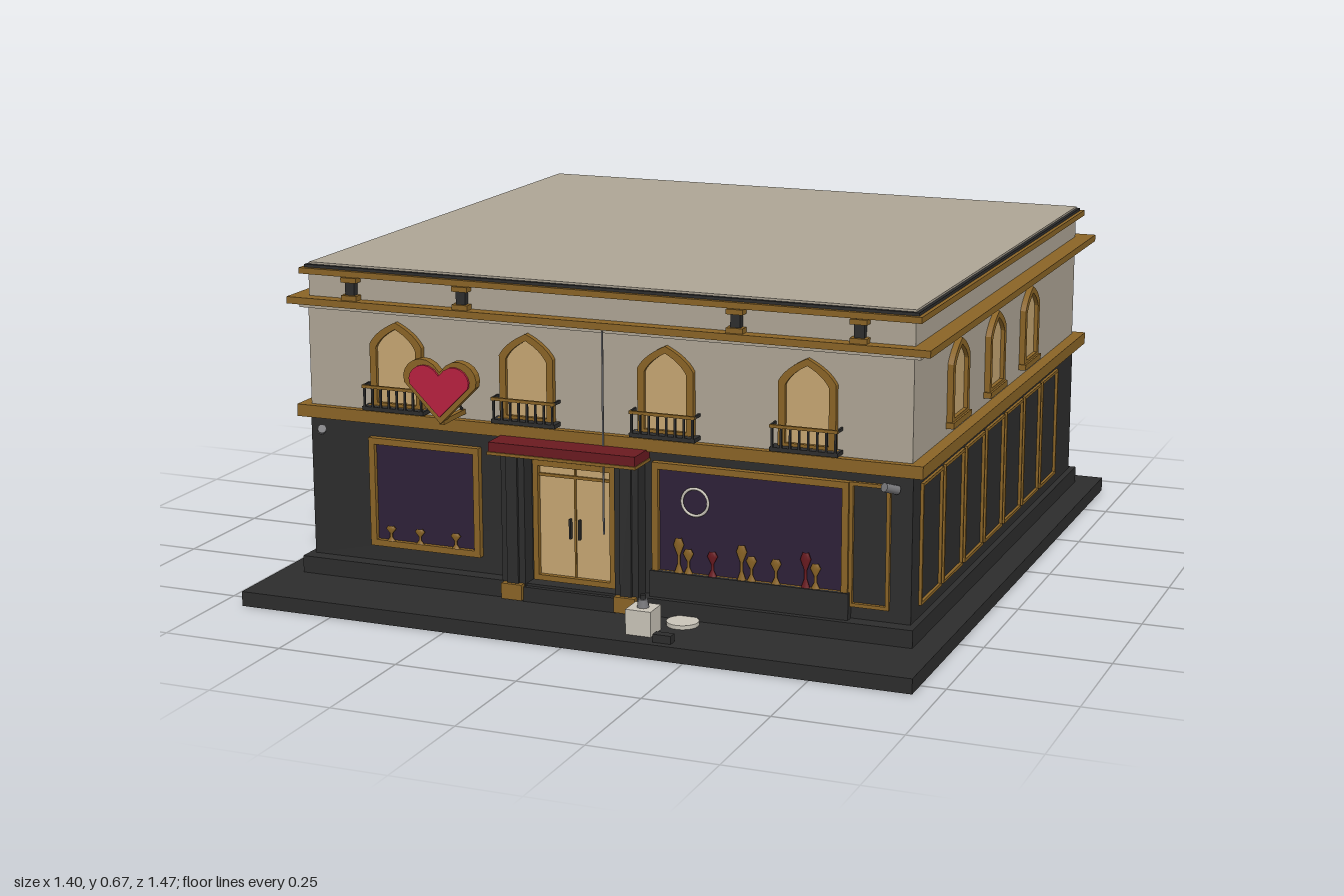
import * as THREE from 'three';

const mat = (name, color) => Object.assign(new THREE.MeshStandardMaterial({ color }), { name });
const M = {
  stone: mat('warm stone', 0xaea595), gold: mat('old gold', 0x8a6426), dark: mat('charcoal', 0x2d2d2d),
  glow: mat('lit glass', 0xc6a672), violet: mat('violet glass', 0x2e2038), maroon: mat('maroon', 0x6a1a20),
  red: mat('heart red', 0xb82040), grey: mat('metal grey', 0x77777a), pale: mat('pale', 0xc9c4b8),
};

function add(parent, name, geo, m, x = 0, y = 0, z = 0) {
  const mesh = new THREE.Mesh(geo, m);
  mesh.name = name;
  mesh.position.set(x, y, z);
  parent.add(mesh);
  return mesh;
}

// Box given by its limits on each axis
function box(parent, name, m, x0, x1, y0, y1, z0, z1) {
  return add(parent, name, new THREE.BoxGeometry(x1 - x0, y1 - y0, z1 - z0), m,
    (x0 + x1) / 2, (y0 + y1) / 2, (z0 + z1) / 2);
}

function group(parent, name, x = 0, y = 0, z = 0, turn = 0) {
  const g = new THREE.Group();
  g.name = name;
  g.position.set(x, y, z);
  g.rotation.y = turn;
  parent.add(g);
  return g;
}

const extrude = (shape, depth) =>
  new THREE.ExtrudeGeometry(shape, { depth, bevelEnabled: false, curveSegments: 8 });

function rectShape(w, h) {
  return new THREE.Shape([[-w / 2, 0], [w / 2, 0], [w / 2, h], [-w / 2, h]].map(p => new THREE.Vector2(...p)));
}

// Pointed arch standing on y = 0
function archShape(w, h) {
  const s = new THREE.Shape(), k = w / 2, shoulder = h * 0.74;
  s.moveTo(-k, 0);
  s.lineTo(k, 0);
  s.lineTo(k, shoulder);
  s.quadraticCurveTo(k * 0.75, h * 0.89, 0, h);
  s.quadraticCurveTo(-k * 0.75, h * 0.89, -k, shoulder);
  s.closePath();
  return s;
}

// Border of thickness t around a rectangle or arch, with an optional pane
function framed(parent, name, make, w, h, t, depth, pane) {
  const outer = make(w, h);
  const inner = make(w - 2 * t, h - 2 * t).getPoints(8).map(p => p.add(new THREE.Vector2(0, t)));
  outer.holes.push(new THREE.Path(inner));
  add(parent, name + 'Frame', extrude(outer, depth), M.gold);
  if (pane) add(parent, name + 'Pane', extrude(new THREE.Shape(inner), 0.004), pane);
}

function heartShape(w, h) {
  const s = new THREE.Shape(), k = w / 2;
  s.moveTo(0, -h / 2);
  s.lineTo(k * 0.93, h * 0.12);
  s.bezierCurveTo(k * 1.1, h * 0.42, k * 0.4, h * 0.72, 0, h * 0.32);
  s.bezierCurveTo(-k * 0.4, h * 0.72, -k * 1.1, h * 0.42, -k * 0.93, h * 0.12);
  s.closePath();
  return s;
}

function archWindow(parent, x, y, z, turn, h) {
  const g = group(parent, 'archedWindow', x, y, z, turn);
  framed(g, 'arch', archShape, 0.115, h, 0.014, 0.012, M.glow);
  box(g, 'sill', M.gold, -0.062, 0.062, -0.004, 0.008, 0, 0.016);
  return g;
}

function balcony(parent) {
  const g = group(parent, 'balcony');
  box(g, 'balconyFloor', M.dark, -0.068, 0.068, 0, 0.008, 0, 0.03);
  box(g, 'handrail', M.gold, -0.068, 0.068, 0.046, 0.052, 0.025, 0.031);
  for (let i = 0; i < 8; i++) {
    const x = -0.063 + i * 0.018;
    box(g, 'baluster', M.dark, x - 0.002, x + 0.002, 0.008, 0.046, 0.026, 0.03);
  }
  for (const s of [-1, 1]) box(g, 'sideRail', M.dark, s * 0.066 - 0.002, s * 0.066 + 0.002, 0.046, 0.052, 0, 0.026);
}

// Small cup-shaped display piece
function trinket(parent, x, y, z, h, m) {
  const pts = [[0.009, 0], [0.003, 0.25], [0.003, 0.5], [0.011, 0.8], [0.006, 1]]
    .map(([r, t]) => new THREE.Vector2(r, t * h));
  const mesh = add(parent, 'displayPiece', new THREE.LatheGeometry(pts, 10), m, x, y, z);
  mesh.scale.z = 0.6;
}

function rod(parent, name, m, a, b, r) {
  return add(parent, name, new THREE.TubeGeometry(
    new THREE.LineCurve3(new THREE.Vector3(...a), new THREE.Vector3(...b)), 1, r, 6), m);
}

export function createModel() {
  const root = new THREE.Group();
  root.name = 'cornerShop';

  // Main masses, from the pavement up
  box(root, 'pavement', M.dark, -0.7, 0.7, 0, 0.03, -0.67, 0.8);
  box(root, 'plinth', M.dark, -0.65, 0.65, 0.03, 0.065, -0.615, 0.64);
  box(root, 'lowerWalls', M.dark, -0.637, 0.637, 0.065, 0.355, -0.6, 0.61);
  box(root, 'lowerCornice', M.gold, -0.66, 0.66, 0.355, 0.38, -0.62, 0.625);
  box(root, 'upperWalls', M.stone, -0.635, 0.635, 0.38, 0.585, -0.6, 0.61);
  box(root, 'upperCornice', M.gold, -0.672, 0.672, 0.588, 0.602, -0.638, 0.632);
  box(root, 'corniceBed', M.stone, -0.65, 0.65, 0.58, 0.588, -0.615, 0.62);
  box(root, 'parapet', M.stone, -0.635, 0.635, 0.602, 0.648, -0.6, 0.605);
  box(root, 'parapetTrim', M.gold, -0.65, 0.65, 0.648, 0.66, -0.617, 0.618);
  box(root, 'roofEdge', M.dark, -0.642, 0.642, 0.66, 0.666, -0.609, 0.609);
  box(root, 'roof', M.stone, -0.635, 0.635, 0.664, 0.67, -0.603, 0.601);

  // Side walls: seven panels and three arched windows each
  for (const s of [-1, 1]) {
    for (let i = 0; i < 7; i++) {
      const g = group(root, 'sidePanel', s * 0.637, 0.09, 0.495 - i * 0.147, s * Math.PI / 2);
      framed(g, 'panel', rectShape, 0.134, 0.24, 0.006, 0.006);
    }
    for (const z of [0.335, 0.07, -0.197]) archWindow(root, s * 0.635, 0.4, z, s * Math.PI / 2, 0.165);
  }

  // Back wall: panels and ladder
  for (let i = 0; i < 8; i++) {
    const g = group(root, 'backPanel', (i - 3.5) * 0.147, 0.09, -0.6, Math.PI);
    framed(g, 'panel', rectShape, 0.134, 0.24, 0.006, 0.006);
  }
  const ladder = group(root, 'ladder', 0.24, 0, -0.625);
  for (const s of [-1, 1]) rod(ladder, 'ladderRail', M.grey, [s * 0.038, 0.07, 0], [s * 0.038, 0.59, 0], 0.005);
  for (let i = 0; i < 9; i++) rod(ladder, 'rung', M.grey, [-0.038, 0.1 + i * 0.057, 0], [0.038, 0.1 + i * 0.057, 0], 0.004);

  // Shop windows with display pieces
  const leftPane = group(root, 'smallShopWindow', -0.378, 0.1, 0.61);
  framed(leftPane, 'shop', rectShape, 0.245, 0.225, 0.013, 0.014, M.violet);
  const bigPane = group(root, 'largeShopWindow', 0.315, 0.105, 0.61);
  framed(bigPane, 'shop', rectShape, 0.4, 0.23, 0.013, 0.014, M.violet);
  box(root, 'stallRiser', M.dark, 0.112, 0.518, 0.065, 0.118, 0.6, 0.628);
  framed(group(root, 'narrowPanel', 0.555, 0.09, 0.61), 'panel', rectShape, 0.08, 0.245, 0.007, 0.008);
  for (const x of [-0.455, -0.39, -0.31]) trinket(root, x, 0.113, 0.622, 0.032, M.gold);
  [0.17, 0.19, 0.24, 0.3, 0.32, 0.37, 0.43, 0.45].forEach((x, i) =>
    trinket(root, x, 0.118, 0.62, i % 3 ? 0.05 : 0.07, i % 4 === 2 ? M.maroon : M.gold));
  add(root, 'ringOrnament', new THREE.TorusGeometry(0.027, 0.003, 6, 28), M.pale, 0.203, 0.262, 0.618);

  // Entrance: double door, pilasters and awning
  const door = group(root, 'entrance', -0.05, 0.07, 0.61);
  framed(door, 'door', rectShape, 0.175, 0.245, 0.011, 0.015, M.glow);
  box(door, 'doorSplit', M.gold, -0.002, 0.002, 0.01, 0.235, 0, 0.007);
  box(door, 'transom', M.gold, -0.08, 0.08, 0.212, 0.218, 0, 0.008);
  for (const s of [-1, 1]) {
    box(door, 'doorHandle', M.dark, s * 0.01 - 0.002, s * 0.01 + 0.002, 0.09, 0.13, 0.004, 0.012);
    const x = s * 0.121;
    box(door, 'pilaster', M.dark, x - 0.025, x + 0.025, -0.04, 0.27, 0, 0.036);
    box(door, 'pilasterRib', M.dark, x - 0.012, x + 0.012, -0.01, 0.26, 0.036, 0.042);
    box(door, 'pilasterBase', M.gold, x - 0.022, x + 0.022, -0.036, -0.004, 0.03, 0.05);
  }
  box(root, 'doorStep', M.dark, -0.15, 0.05, 0.03, 0.06, 0.63, 0.65);
  box(root, 'awning', M.maroon, -0.205, 0.105, 0.338, 0.358, 0.61, 0.682);
  box(root, 'awningTrim', M.gold, -0.207, 0.107, 0.333, 0.339, 0.61, 0.685);

  // Upper front windows with balconies
  for (const x of [-0.435, -0.15, 0.143, 0.43]) balcony(archWindow(root, x, 0.385, 0.61, 0, 0.18));

  // Corbels on the parapet
  for (const x of [-0.535, -0.29, 0.285, 0.53]) {
    const g = group(root, 'corbel', x, 0.602, 0.605);
    box(g, 'corbelCore', M.dark, -0.01, 0.01, 0, 0.046, 0, 0.014);
    box(g, 'corbelFoot', M.gold, -0.017, 0.017, 0, 0.01, 0, 0.02);
    box(g, 'corbelHead', M.gold, -0.017, 0.017, 0.036, 0.046, 0, 0.02);
  }

  // Hanging heart sign on its bracket
  const sign = group(root, 'heartSign', -0.293, 0.455, 0.692);
  add(sign, 'heartBorder', extrude(heartShape(0.165, 0.125), 0.018), M.gold);
  add(sign, 'heartFront', extrude(heartShape(0.135, 0.1), 0.006), M.red, 0, 0.002, 0.017);
  add(sign, 'heartBack', extrude(heartShape(0.135, 0.1), 0.006), M.red, 0, 0.002, -0.005);
  box(sign, 'bracketArm', M.gold, -0.005, 0.005, -0.065, -0.055, -0.085, 0.012);
  rod(sign, 'bracketStay', M.dark, [0, 0.035, 0], [0, -0.06, -0.08], 0.003);

  // Wall cable and corner cameras
  box(root, 'cable', M.grey, 0.014, 0.017, 0.18, 0.585, 0.626, 0.629);
  for (const x of [-0.605, 0.598]) {
    const cam = add(root, 'wallCamera', new THREE.CylinderGeometry(0.009, 0.009, 0.035, 10), M.grey, x, 0.332, 0.625);
    cam.rotation.set(1.2, 0, x > 0 ? 0.5 : -0.5);
  }

  // Pavement objects
  const can = group(root, 'canister', 0.143, 0.03, 0.735);
  box(can, 'canBody', M.pale, -0.026, 0.026, 0, 0.05, -0.026, 0.026);
  add(can, 'canNeck', new THREE.CylinderGeometry(0.009, 0.012, 0.016, 12), M.grey, 0, 0.058, 0);
  add(can, 'canCap', new THREE.CylinderGeometry(0.006, 0.006, 0.01, 10), M.dark, 0, 0.07, 0);
  add(root, 'roundPlate', new THREE.CylinderGeometry(0.032, 0.032, 0.008, 20), M.pale, 0.197, 0.034, 0.667);
  box(root, 'smallBlock', M.dark, 0.183, 0.22, 0.03, 0.046, 0.766, 0.785);

  return root;
}
